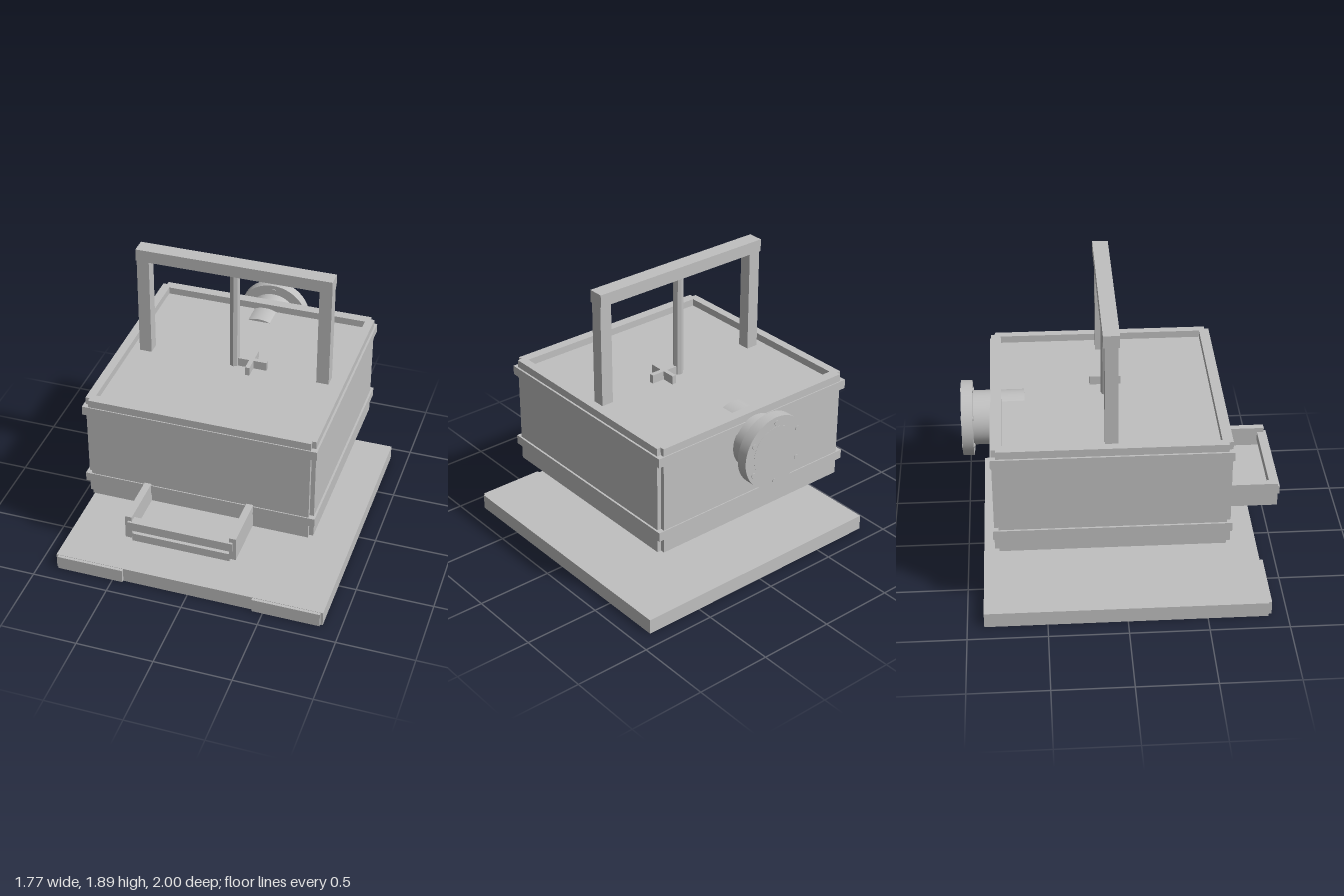
import * as THREE from 'three';

export function createModel() {
  const model = new THREE.Group();
  const grey = new THREE.MeshStandardMaterial({ color: 0xc0c0c0 });
  grey.name = 'plain grey';

  const add = (name, geometry, parent = model) => {
    const mesh = new THREE.Mesh(geometry, grey);
    mesh.name = name;
    parent.add(mesh);
    return mesh;
  };
  // Box given by its minimum and maximum on each axis
  const box = (name, x0, x1, y0, y1, z0, z1, parent) => {
    const mesh = add(name, new THREE.BoxGeometry(x1 - x0, y1 - y0, z1 - z0), parent);
    mesh.position.set((x0 + x1) / 2, (y0 + y1) / 2, (z0 + z1) / 2);
    return mesh;
  };
  const group = (name) => {
    const g = new THREE.Group();
    g.name = name;
    model.add(g);
    return g;
  };
  const bodyZ = -0.085; // centre of the housing in depth

  // Rectangle with square notches cut from its corners
  const outline = (w, d, notch, Kind) => {
    const pts = [];
    for (const [sx, sy] of [[1, 1], [-1, 1], [-1, -1], [1, -1]]) {
      const corner = notch
        ? [[w, d - notch], [w - notch, d - notch], [w - notch, d]]
        : [[w, d]];
      if (sx * sy < 0) corner.reverse();
      corner.forEach(([x, y]) => pts.push(new THREE.Vector2(sx * x, sy * y)));
    }
    return new Kind(pts);
  };
  const slab = (name, shape, y0, y1, parent) => {
    const g = new THREE.ExtrudeGeometry(shape, { depth: y1 - y0, bevelEnabled: false });
    g.rotateX(-Math.PI / 2);
    add(name, g, parent).position.set(0, y0, bodyZ);
  };

  // Base plate with two shallow strips on its front edge
  const base = group('base');
  box('basePlate', -0.885, 0.885, 0, 0.1, -0.895, 0.88, base);
  for (const s of [-1, 1]) {
    box('baseStrip', s * 0.65 - 0.22, s * 0.65 + 0.22, 0.005, 0.098, 0.87, 0.9, base);
  }

  // Housing: solid block, raised rim and two surrounding bands
  const housing = group('housing');
  slab('housingBlock', outline(0.735, 0.725, 0.027, THREE.Shape), 0.468, 1.14, housing);
  const rim = outline(0.735, 0.725, 0.027, THREE.Shape);
  rim.holes.push(outline(0.68, 0.66, 0, THREE.Path));
  slab('housingRim', rim, 1.14, 1.187, housing);
  for (const y of [0.565, 1.077]) {
    const band = outline(0.748, 0.732, 0, THREE.Shape);
    band.holes.push(outline(0.7, 0.69, 0, THREE.Path));
    slab('housingBand', band, y, y + 0.06, housing);
  }

  // Handle frame and central rod
  const handle = group('handle');
  box('handleBar', -0.63, 0.63, 1.81, 1.89, -0.135, -0.035, handle);
  for (const s of [-1, 1]) {
    box('handlePost', s * 0.588 - 0.04, s * 0.588 + 0.04, 1.14, 1.81, -0.125, -0.045, handle);
  }
  const rodGeo = new THREE.CylinderGeometry(0.033, 0.033, 0.68, 8).toNonIndexed();
  rodGeo.computeVertexNormals();
  add('centreRod', rodGeo, handle).position.set(0, 1.475, -0.085);

  // Small cross beside the rod
  const cross = group('cross');
  box('crossBarWide', 0.015, 0.215, 1.14, 1.197, -0.1, -0.07, cross);
  box('crossBarDeep', 0.1, 0.128, 1.14, 1.197, -0.185, 0.015, cross);

  // Tray at the front
  const tray = group('tray');
  box('trayFloor', -0.315, 0.315, 0.45, 0.505, 0.59, 0.98, tray);
  for (const s of [-1, 1]) {
    box('traySide', s * 0.333 - 0.022, s * 0.333 + 0.022, 0.475, 0.635, 0.62, 0.985, tray);
  }
  box('trayRail', -0.335, 0.335, 0.545, 0.605, 0.94, 1, tray);

  // Pipe, flange and bolts at the back
  const port = group('port');
  const disc = (name, r, z0, z1, x, y, sides) => {
    const g = new THREE.CylinderGeometry(r, r, z1 - z0, sides);
    g.rotateX(Math.PI / 2);
    add(name, g, port).position.set(x, y, (z0 + z1) / 2);
  };
  const portY = 0.985;
  disc('pipe', 0.172, -0.997, -0.6, 0, portY, 48);
  disc('flange', 0.238, -0.996, -0.926, 0, portY, 48);
  for (let i = 0; i < 6; i++) {
    const a = Math.PI / 2 + (i * Math.PI) / 3;
    disc('flangeBolt', 0.015, -1, -0.921, 0.2 * Math.cos(a), portY + 0.2 * Math.sin(a), 12);
  }
  return model;
}
